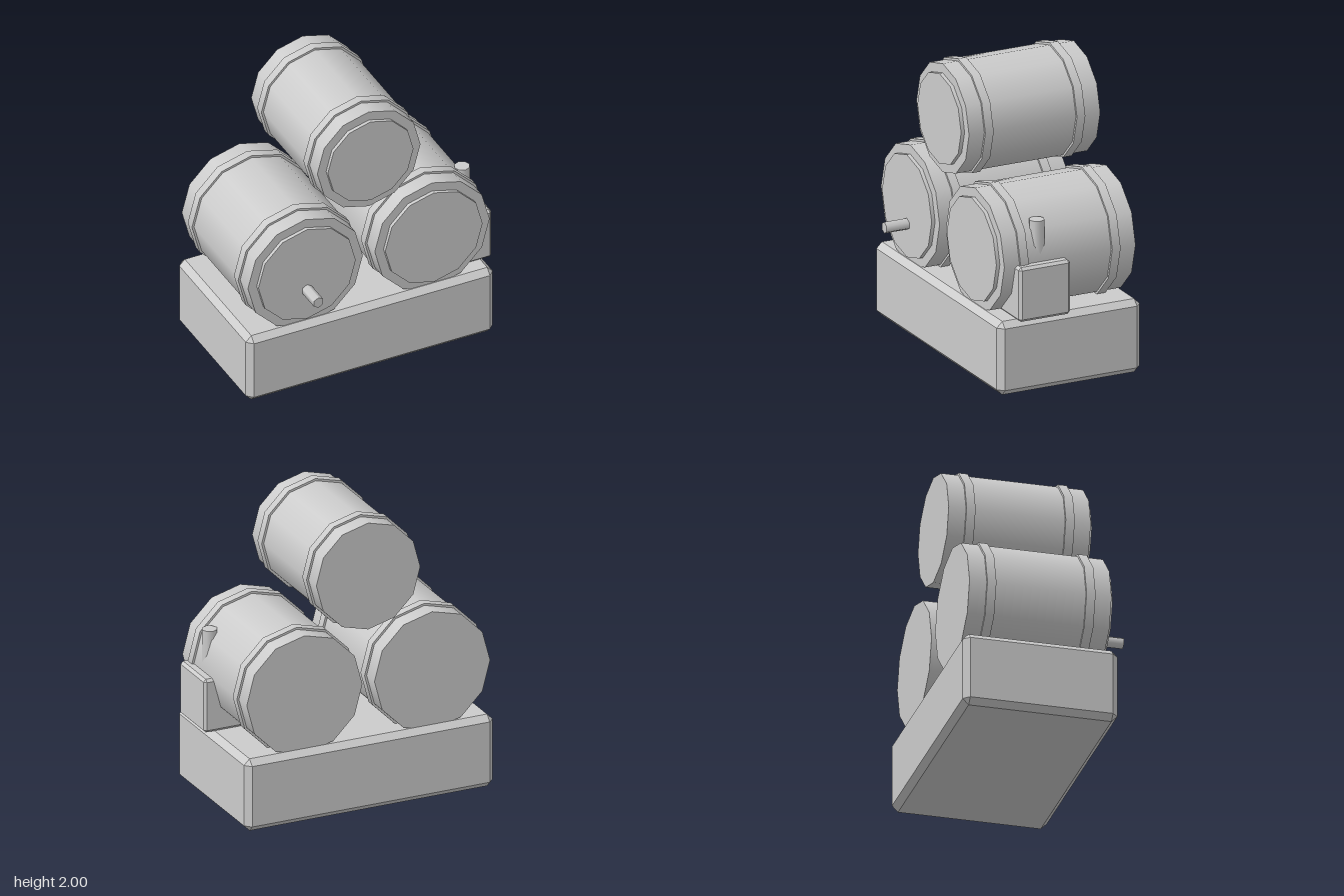
import * as THREE from 'three';
import { ConvexGeometry } from 'three/addons/geometries/ConvexGeometry.js';

const grey = new THREE.MeshStandardMaterial({ color: 0xcccccc });
grey.name = 'plain grey';

function addMesh(parent, name, geometry) {
  const mesh = new THREE.Mesh(geometry, grey);
  mesh.name = name;
  parent.add(mesh);
  return mesh;
}

// Block between two corners with every edge chamfered by c
function chamferBox(min, max, c) {
  const half = max.map((v, i) => (v - min[i]) / 2);
  const points = [];
  for (const sx of [-1, 1]) for (const sy of [-1, 1]) for (const sz of [-1, 1]) {
    for (let axis = 0; axis < 3; axis++) {
      const p = half.map((h, i) => (i === axis ? h : h - c));
      points.push(new THREE.Vector3(p[0] * sx, p[1] * sy, p[2] * sz));
    }
  }
  const geometry = new ConvexGeometry(points);
  geometry.translate(...max.map((v, i) => (v + min[i]) / 2));
  return geometry;
}

// Cylinder lying along z from z0 to z1
function lyingCylinder(radius, z0, z1, sides) {
  return new THREE.CylinderGeometry(radius, radius, z1 - z0, sides)
    .rotateX(Math.PI / 2)
    .translate(0, 0, (z0 + z1) / 2);
}

// Barrel with two hoops and a raised front lid
function makeBarrel(name, x, y, hoop) {
  const barrel = new THREE.Group();
  barrel.name = name;
  barrel.position.set(x, y, 0);
  addMesh(barrel, 'barrelBody', lyingCylinder(hoop - 0.015, -0.545, 0.4, 12));
  addMesh(barrel, 'frontHoop', lyingCylinder(hoop, 0.23, 0.29, 12));
  addMesh(barrel, 'rearHoop', lyingCylinder(hoop, -0.43, -0.37, 12));
  addMesh(barrel, 'barrelLid', lyingCylinder(hoop - 0.078, 0.39, 0.425, 12));
  return barrel;
}

export function createModel() {
  const model = new THREE.Group();
  model.name = 'barrelStack';

  // Plinth under the barrels
  addMesh(model, 'base', chamferBox([-0.908, 0, -0.585], [0.864, 0.5, 0.445], 0.04));

  // Two barrels below, a smaller one above
  model.add(
    makeBarrel('rightBarrel', -0.478, 0.872, 0.427),
    makeBarrel('leftBarrel', 0.432, 0.872, 0.427),
    makeBarrel('topBarrel', -0.022, 1.615, 0.385)
  );

  // Tap on the right barrel
  addMesh(model, 'tap', lyingCylinder(0.039, 0.41, 0.588, 6)).position.set(-0.478, 0.75, 0);

  // Box at the side of the left barrel and the peg above it
  addMesh(model, 'sideBox', chamferBox([0.545, 0.5, -0.05], [0.905, 0.87, 0.32], 0.018));
  addMesh(model, 'peg', new THREE.CylinderGeometry(0.052, 0.052, 0.28, 8)).position.set(0.78, 1.0, 0.134);

  return model;
}
